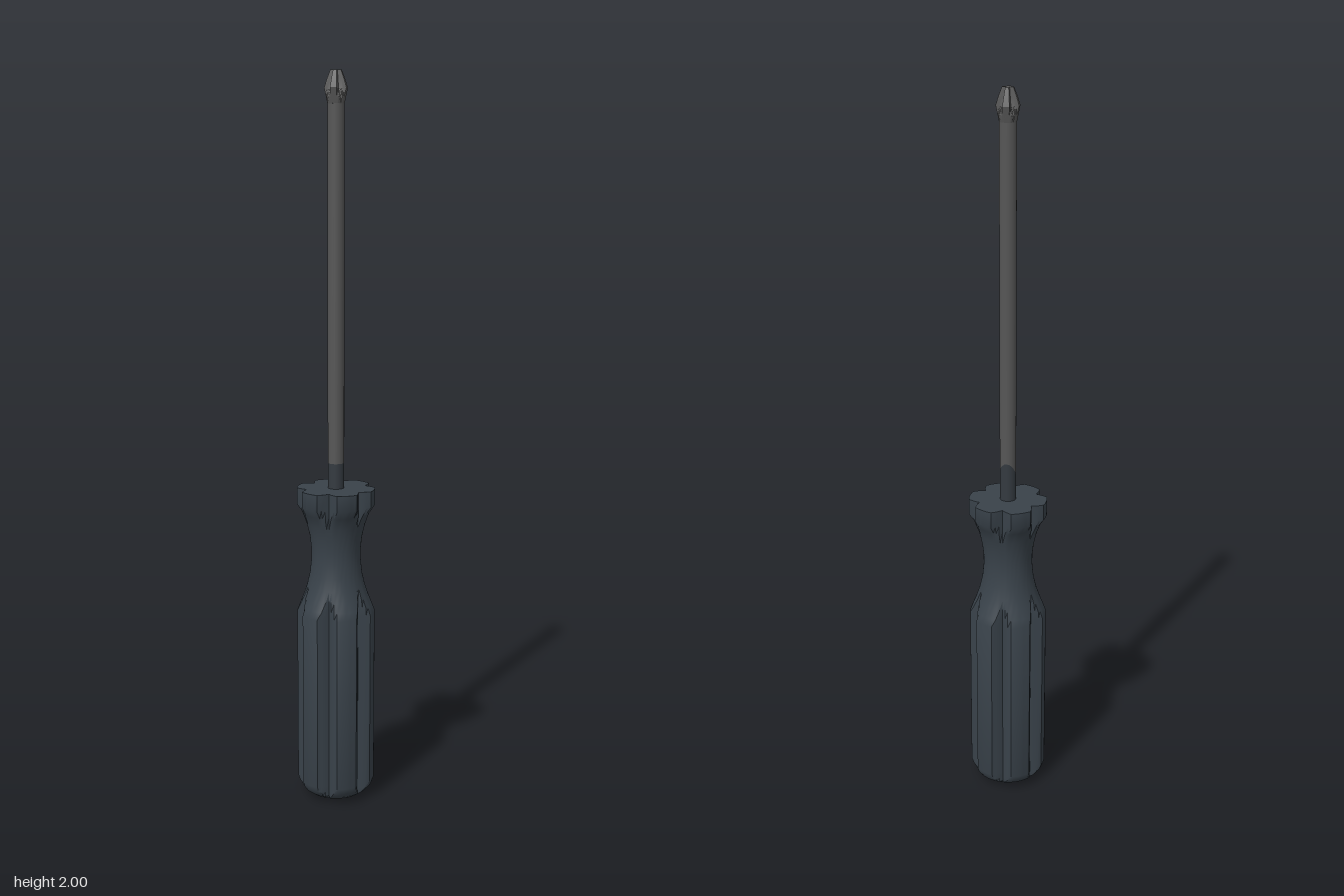
import * as THREE from 'three';
import { toCreasedNormals } from 'three/addons/utils/BufferGeometryUtils.js';

// Stacks rings of [radius, y, ...]; radiusAt(angle, ring) shapes each cross-section.
function loft(rings, segments, radiusAt, crease) {
  const pos = [];
  const point = (ring, j) => {
    const a = (j / segments) * Math.PI * 2;
    const r = radiusAt(a, ring);
    return [Math.cos(a) * r, ring[1], Math.sin(a) * r];
  };
  for (let i = 0; i < rings.length - 1; i++) {
    const lo = rings[i], hi = rings[i + 1];
    for (let j = 0; j < segments; j++) {
      const a = point(lo, j), b = point(lo, j + 1), c = point(hi, j), d = point(hi, j + 1);
      if (lo[0] > 0) pos.push(...a, ...c, ...b);
      if (hi[0] > 0) pos.push(...b, ...c, ...d);
    }
  }
  const g = new THREE.BufferGeometry();
  g.setAttribute('position', new THREE.Float32BufferAttribute(pos, 3));
  return toCreasedNormals(g, crease);
}

// Six lobes with V-shaped grooves between them; the grooves fade where the profile is thinner.
function gripRadius(angle, [r]) {
  const step = Math.PI / 3;
  const fold = Math.abs(angle - Math.round(angle / step) * step) / step * 60;
  const lobe = fold <= 15.01 ? 0.1075 : 0.1075 + (0.083 - 0.1075) * (fold - 15) / 15;
  return Math.min(r, lobe);
}

// Cross-shaped section: ring[2] is the half-width of each blade.
function crossRadius(angle, [r, , w]) {
  const s = Math.min(Math.abs(Math.sin(angle)), Math.abs(Math.cos(angle)));
  return Math.min(r, w / Math.max(s, 1e-4));
}

export function createModel() {
  const group = new THREE.Group();
  const handleMat = new THREE.MeshStandardMaterial({ color: 0x39424a });
  handleMat.name = 'handle slate';
  const steelMat = new THREE.MeshStandardMaterial({ color: 0x565656 });
  steelMat.name = 'steel grey';
  const darkMat = new THREE.MeshStandardMaterial({ color: 0x343a40 });
  darkMat.name = 'dark collar';
  const add = (name, geometry, material) => {
    const mesh = new THREE.Mesh(geometry, material);
    mesh.name = name;
    group.add(mesh);
    return mesh;
  };

  // Fluted handle with a rounded butt, narrow neck and flared top
  const handleRings = [
    [0, 0], [0.055, 0.002], [0.075, 0.009], [0.092, 0.021], [0.102, 0.034], [0.1075, 0.05],
    [0.1075, 0.54], [0.1, 0.56], [0.09, 0.585], [0.08, 0.615], [0.072, 0.65], [0.068, 0.69],
    [0.068, 0.72], [0.072, 0.755], [0.08, 0.79], [0.092, 0.822], [0.1075, 0.845],
    [0.1075, 0.89], [0, 0.89],
  ];
  add('handle', loft(handleRings, 72, gripRadius, 0.6), handleMat);

  // Shaft: dark lower end meeting the steel along an edge that rises at the back
  const R = 0.0225, split = 0.98;
  const slantEdge = (geometry) => {
    const p = geometry.attributes.position;
    for (let i = 0; i < p.count; i++) {
      if (Math.abs(p.getY(i) - split) < 1e-4) {
        p.setY(i, 0.96 + 0.04 * Math.max(0, -p.getZ(i) / R));
      }
    }
    return geometry;
  };
  const rod = (y0, y1) =>
    slantEdge(new THREE.CylinderGeometry(R, R, y1 - y0, 20, 1, true).translate(0, (y0 + y1) / 2, 0));
  add('shaftBase', rod(0.88, split), darkMat);
  add('shaft', rod(split, 1.915), steelMat);

  // Flared cross-point tip
  const tipRings = [
    [R, 1.915, 0.03], [0.026, 1.932, 0.0165], [0.031, 1.955, 0.009],
    [0.024, 1.977, 0.007], [0.015, 2, 0.005], [0, 2, 0.005],
  ];
  add('crossTip', loft(tipRings, 64, crossRadius, 0.5), steelMat);

  return group;
}
